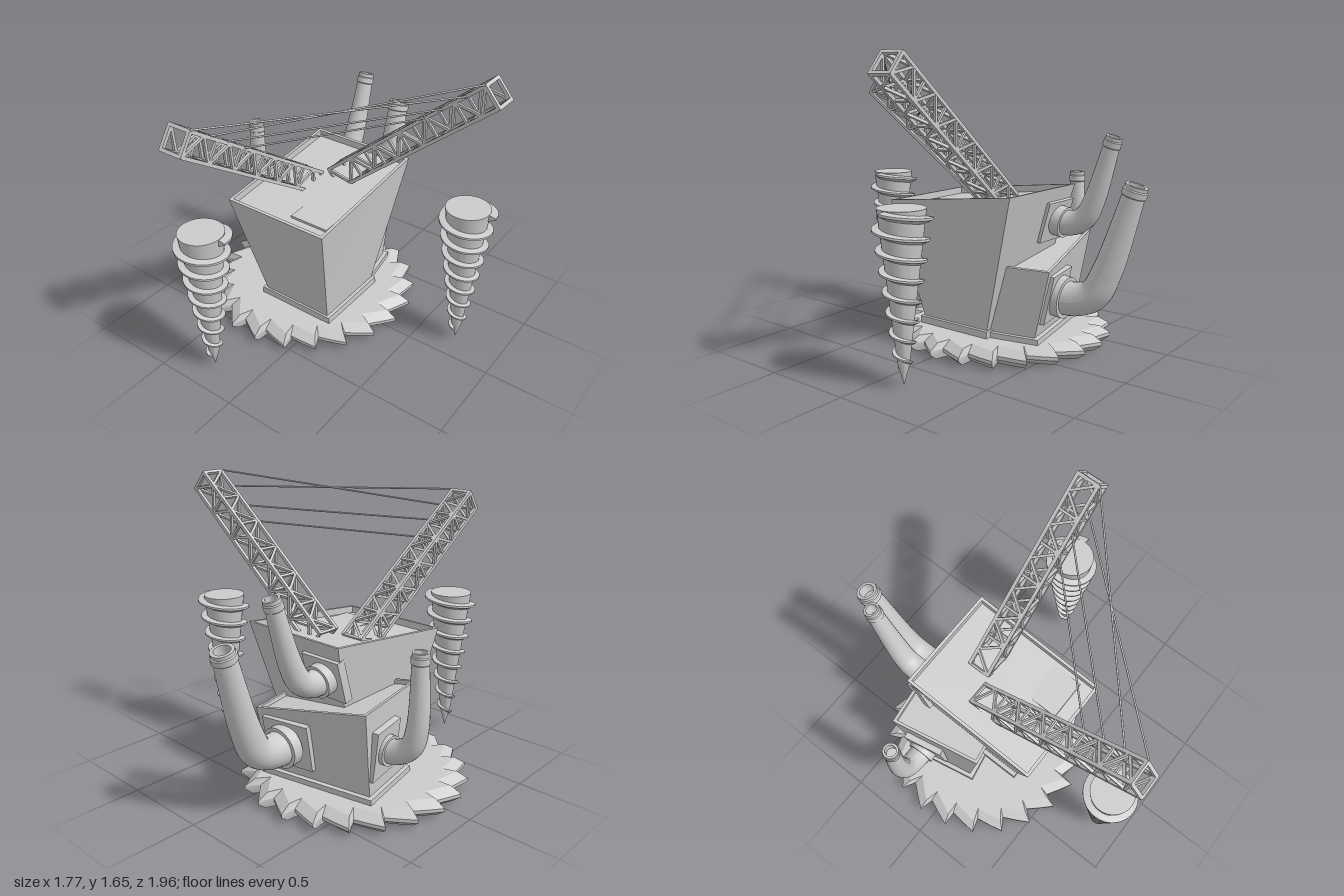
import * as THREE from 'three';
import { mergeGeometries, toCreasedNormals } from 'three/addons/utils/BufferGeometryUtils.js';

const grey = new THREE.MeshStandardMaterial({ color: 0xcccccc });
const V = (x, y, z) => new THREE.Vector3(x, y, z);

function add(parent, name, geometry, x = 0, y = 0, z = 0) {
  const mesh = new THREE.Mesh(geometry, grey);
  mesh.name = name;
  mesh.position.set(x, y, z);
  parent.add(mesh);
  return mesh;
}

// Skin over a list of closed cross-sections, with a fan cap at both ends.
function loft(loops) {
  const pos = [];
  const tri = (...pts) => pts.forEach((p) => pos.push(p.x, p.y, p.z));
  const n = loops[0].length;
  const middle = (loop) => loop.reduce((s, p) => s.add(p), V(0, 0, 0)).divideScalar(n);
  const first = loops[0], last = loops[loops.length - 1];
  const c0 = middle(first), c1 = middle(last);
  for (let i = 0; i < n; i++) {
    const j = (i + 1) % n;
    for (let k = 0; k + 1 < loops.length; k++) {
      const a = loops[k], b = loops[k + 1];
      tri(a[i], a[j], b[j], a[i], b[j], b[i]);
    }
    tri(c0, first[j], first[i]);
    tri(c1, last[i], last[j]);
  }
  const g = new THREE.BufferGeometry();
  g.setAttribute('position', new THREE.Float32BufferAttribute(pos, 3));
  return toCreasedNormals(g, 0.35);
}

// Rectangle section whose height follows a sloping rule.
const rect = (cx, cz, hx, hz, height) =>
  [[1, -1], [-1, -1], [-1, 1], [1, 1]].map(([sx, sz]) => {
    const x = cx + sx * hx, z = cz + sz * hz;
    return V(x, height(x, z), z);
  });

// Tapered housing with a raised rim around a sunken roof.
function housing(bottom, top, base, height, rim, depth) {
  const [cx, cz, hx, hz] = top;
  return loft([
    rect(...bottom, () => base),
    rect(cx, cz, hx, hz, height),
    rect(cx, cz, hx - rim, hz - rim, height),
    rect(cx, cz, hx - rim, hz - rim, (x, z) => height(x, z) - depth),
  ]);
}

// Round saw blade with bevelled, raked teeth.
function sawBlade() {
  const teeth = 22;
  const ring = (inset, y) => {
    const pts = [];
    for (let i = 0; i < teeth; i++) {
      for (const [f, r] of [[0, 0.555], [0.45, 0.592], [0.88, 0.638]]) {
        const a = ((i + f) / teeth) * Math.PI * 2;
        pts.push(V(Math.cos(a) * (r - inset), y, -Math.sin(a) * (r - inset)));
      }
    }
    return pts;
  };
  return loft([ring(0.045, 0), ring(0, 0.035), ring(0, 0.055), ring(0.06, 0.09)]);
}

// Square bar between two points.
function bar(a, b, w) {
  const o = new THREE.Object3D();
  o.position.copy(a).lerp(b, 0.5);
  o.lookAt(b);
  o.updateMatrix();
  return new THREE.BoxGeometry(w, w, a.distanceTo(b) + w * 0.5).applyMatrix4(o.matrix);
}

// Four-chord lattice boom running from base to tip.
function boom(parent, name, base, tip) {
  const L = base.distanceTo(tip), h = 0.062, bays = 12, bars = [];
  const corners = [[-h, -h], [h, -h], [h, h], [-h, h]];
  corners.forEach((p, s) => {
    const q = corners[(s + 1) % 4];
    const at = (c, k) => V(c[0], c[1], (L * k) / bays);
    bars.push(bar(at(p, 0), at(p, bays), 0.019));
    for (let k = 0; k < bays; k++) {
      const flip = (k + s) % 2;
      bars.push(bar(at(flip ? p : q, k), at(flip ? q : p, k + 1), 0.015));
      if (k % 2 === 0) bars.push(bar(at(p, k), at(q, k), 0.014));
    }
    bars.push(bar(at(p, bays), at(q, bays), 0.019));
  });
  const mesh = add(parent, name, mergeGeometries(bars), base.x, base.y, base.z);
  mesh.lookAt(tip);
}

// Bent chimney, narrowing from r0 to r1, with a wall flange and an open collar.
function chimney(parent, name, points, r0, r1) {
  const g = new THREE.Group();
  g.name = name;
  parent.add(g);
  const curve = new THREE.CatmullRomCurve3(points.map((p) => V(...p)));
  const rows = 32, sides = 24;
  const tube = new THREE.TubeGeometry(curve, rows, 1, sides);
  const p = tube.attributes.position, v = V(0, 0, 0);
  for (let i = 0; i < p.count; i++) {
    const t = Math.floor(i / (sides + 1)) / rows;
    const c = curve.getPointAt(t);
    v.fromBufferAttribute(p, i).sub(c).multiplyScalar(r0 + (r1 - r0) * t).add(c);
    p.setXYZ(i, v.x, v.y, v.z);
  }
  tube.computeVertexNormals();
  add(g, 'pipe', tube);
  const place = (mesh, t) => {
    mesh.position.copy(curve.getPointAt(t));
    mesh.quaternion.setFromUnitVectors(V(0, 1, 0), curve.getTangentAt(t));
  };
  place(add(g, 'flange', new THREE.CylinderGeometry(r0 * 1.17, r0 * 1.17, 0.06, sides)), 0.07);
  const profile = [[0.98, -0.06], [1.16, -0.052], [1.16, -0.02], [1.04, -0.015], [1.04, 0.004],
    [0.74, 0.004], [0.74, -0.06], [0, -0.06]].map(([r, y]) => new THREE.Vector2(r * r1, y));
  place(add(g, 'collar', toCreasedNormals(new THREE.LatheGeometry(profile, sides), 0.6)), 1);
}

// Conical drill with a shrinking spiral thread.
function drill(parent, name, x, z) {
  const g = new THREE.Group();
  g.name = name;
  g.position.set(x, 0, z);
  parent.add(g);
  const core = [[0, 0.01], [0.03, 0.12], [0.122, 0.905], [0, 0.905]].map(([r, y]) => new THREE.Vector2(r, y));
  add(g, 'drillCore', toCreasedNormals(new THREE.LatheGeometry(core, 32), 0.6));
  const turns = 7.75, steps = 248, loops = [];
  for (let i = 0; i <= steps; i++) {
    const t = i / steps, a = -t * turns * Math.PI * 2, y = 0.89 - 0.8 * t;
    const r = 0.12 - 0.098 * t, fin = 0.04 - 0.019 * t;
    const point = (rad, dy) => V(Math.cos(a) * rad, y + dy, Math.sin(a) * rad);
    const k = 1 - 0.35 * t;
    loops.push([point(r - 0.01, 0.015 * k), point(r + fin, 0.006 * k),
      point(r + fin, -0.006 * k), point(r - 0.01, -0.03 * k)]);
  }
  add(g, 'drillThread', loft(loops));
}

export function createModel() {
  const model = new THREE.Group();
  model.name = 'drillingMachine';

  add(model, 'sawBlade', sawBlade(), -0.255, 0, -0.055);

  // Main tower with its sloping roof
  const roof = (x, z) => 0.862 - 0.113 * z;
  add(model, 'towerPlinth', new THREE.BoxGeometry(0.5, 0.05, 0.48), -0.135, 0.105, 0.03);
  add(model, 'tower', housing([-0.132, 0.03, 0.225, 0.225], [-0.132, 0.005, 0.325, 0.42], 0.12, roof, 0.018, 0.04));
  const hatch = (x, z) => roof(x, z) - 0.042 + 0.07 * (z - 0.12);
  add(model, 'roofHatch', loft([
    rect(0.03, 0.23, 0.12, 0.1, (x, z) => roof(x, z) - 0.06),
    rect(0.03, 0.23, 0.12, 0.1, hatch),
  ]));
  add(model, 'towerPanel', new THREE.BoxGeometry(0.25, 0.24, 0.05), -0.325, 0.715, -0.355).rotation.x = -0.275;

  // Lower engine house, turned a little
  const house = new THREE.Group();
  house.name = 'engineHouse';
  house.position.set(-0.264, 0, -0.21);
  house.rotation.y = 0.19;
  model.add(house);
  add(house, 'housePlinth', new THREE.BoxGeometry(0.68, 0.04, 0.44), 0, 0.1, 0);
  add(house, 'houseBody', housing([0, 0, 0.315, 0.19], [0, 0, 0.332, 0.277], 0.11, (x) => 0.555 - 0.166 * x, 0.018, 0.025));
  add(house, 'backPanel', new THREE.BoxGeometry(0.28, 0.28, 0.05), 0.147, 0.33, -0.235).rotation.x = -0.2;
  add(house, 'sidePanel', new THREE.BoxGeometry(0.05, 0.28, 0.24), -0.325, 0.35, -0.08).rotation.z = 0.1;

  // Chimneys
  chimney(model, 'sideChimney', [[-0.58, 0.36, -0.235], [-0.69, 0.365, -0.23], [-0.775, 0.42, -0.225],
    [-0.81, 0.53, -0.225], [-0.812, 0.925, -0.222]], 0.07, 0.042);
  chimney(model, 'largeBackChimney', [[-0.165, 0.33, -0.46], [-0.168, 0.325, -0.6], [-0.172, 0.37, -0.71],
    [-0.18, 0.5, -0.78], [-0.202, 0.97, -0.925]], 0.1, 0.058);
  chimney(model, 'upperBackChimney', [[-0.33, 0.715, -0.36], [-0.33, 0.705, -0.47], [-0.33, 0.745, -0.555],
    [-0.328, 0.84, -0.61], [-0.325, 1.2, -0.725]], 0.076, 0.043);

  // Lattice booms and the cables between them
  boom(model, 'leftBoom', V(-0.11, 0.82, -0.158), V(0.81, 1.585, -0.158));
  boom(model, 'frontBoom', V(-0.255, 0.79, -0.045), V(-0.255, 1.46, 0.922));
  const cables = [
    [1.52, 0.89, 0.68, 1.555], [1.44, 0.77, 0.77, 1.64],
    [1.365, 0.66, 0.56, 1.455], [1.28, 0.55, 0.46, 1.375],
  ];
  for (const [y0, z0, x1, y1] of cables) {
    const path = new THREE.LineCurve3(V(-0.185, y0, z0), V(x1, y1, -0.09));
    add(model, 'cable', new THREE.TubeGeometry(path, 1, 0.005, 8));
  }

  // Drills hanging under the boom tips
  drill(model, 'leftDrill', 0.72, -0.155);
  drill(model, 'frontDrill', -0.258, 0.832);

  return model;
}
